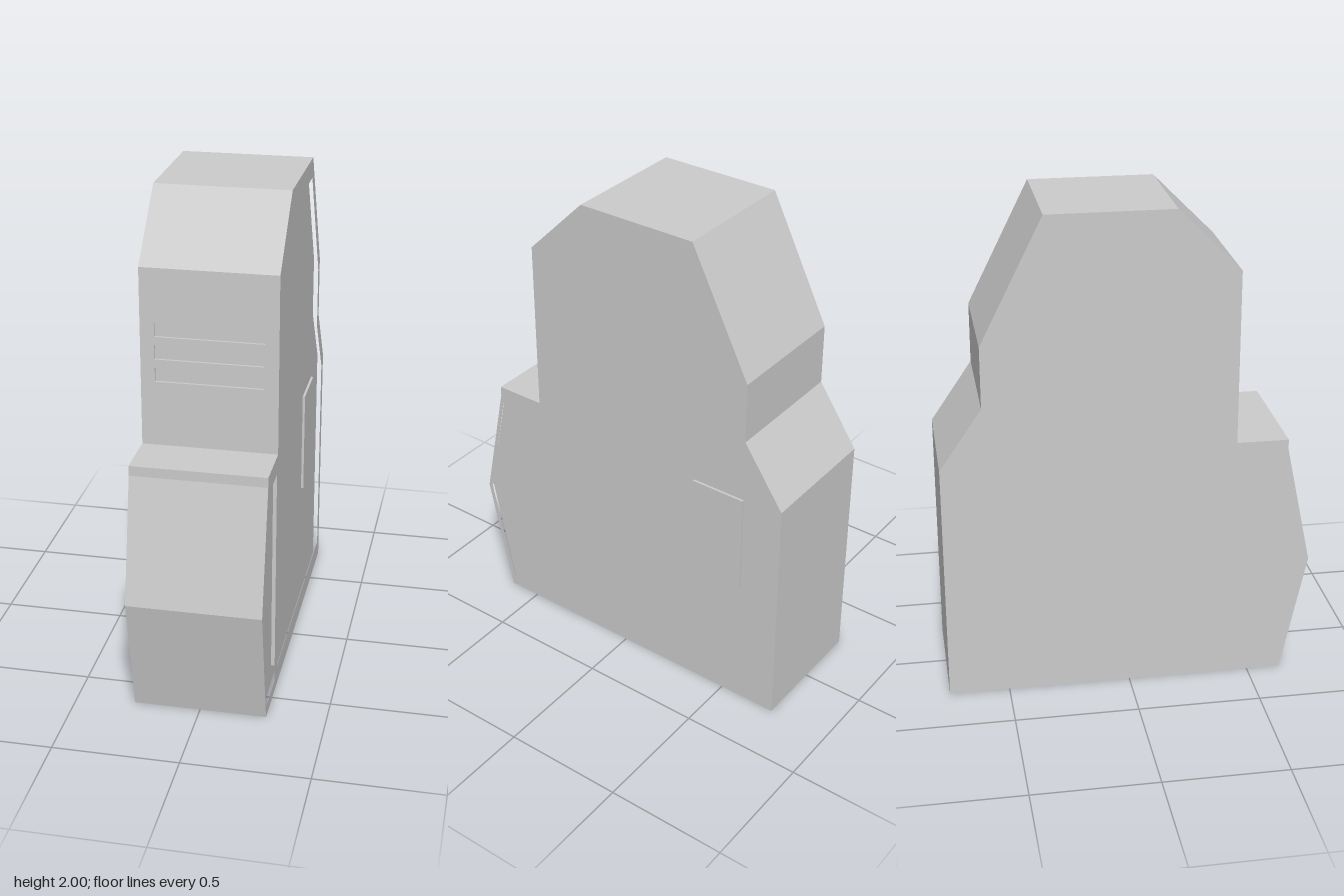
import * as THREE from 'three';

const HALF = 0.265;   // half width of the cabinet
const FLOOR = 0.24;   // x of the recessed side panels
const SLOT = 0.21;    // half length of the front vent slots

// Side silhouette as [z, y]; the upper front edge can be notched by vents
const lowerFront = [[0.64, 0], [0.745, 0.5], [0.64, 1.0], [0.64, 1.04], [0.43, 1.04]];
const upperBack = [[0.43, 1.75], [0.18, 2], [-0.325, 2], [-0.575, 1.5], [-0.575, 1.25], [-0.745, 1], [-0.745, 0]];
const vents = [1.3, 1.39, 1.48].flatMap((y) => [
  [0.43, y], [0.42, y], [0.42, y + 0.055], [0.43, y + 0.055],
]);
const plain = [...lowerFront, ...upperBack];
const notched = [...lowerFront, ...vents, ...upperBack];

// Outlines of the recessed side panels
const mainPanel = [[0.39, 0.08], [0.39, 1.7], [0.17, 1.92], [-0.31, 1.92], [-0.535, 1.465], [-0.535, 1.21], [-0.7, 0.965], [-0.7, 0.08]];
const frontPanel = [[0.63, 0.045], [0.725, 0.5], [0.63, 0.965], [0.45, 0.965], [0.45, 0.045]];

const toPoints = (list) => list.map(([z, y]) => new THREE.Vector2(-z, y));

// Extrude a side outline from x0 to x1
function slab(name, outline, x0, x1, material, holes = []) {
  const shape = new THREE.Shape(toPoints(outline));
  for (const hole of holes) shape.holes.push(new THREE.Path(toPoints(hole)));
  const geometry = new THREE.ExtrudeGeometry(shape, { depth: x1 - x0, bevelEnabled: false });
  geometry.rotateY(Math.PI / 2).translate(x0, 0, 0);
  const mesh = new THREE.Mesh(geometry, material);
  mesh.name = name;
  return mesh;
}

export function createModel() {
  const group = new THREE.Group();
  group.name = 'cabinet';
  const grey = new THREE.MeshStandardMaterial({ color: 0xcccccc, flatShading: true });

  // Body in layers across the width, vents only in the middle layer
  group.add(
    slab('rightWall', plain, -HALF, -SLOT, grey),
    slab('ventedBody', notched, -SLOT, SLOT, grey),
    slab('leftWall', plain, SLOT, FLOOR, grey),
    slab('panelFrame', plain, FLOOR, HALF, grey, [mainPanel, frontPanel]),
  );

  // Small raised door on the recessed side panel
  const door = new THREE.Mesh(new THREE.BoxGeometry(0.02, 0.43, 0.23), grey);
  door.name = 'accessDoor';
  door.position.set(FLOOR, 0.75, -0.445);
  group.add(door);

  return group;
}
